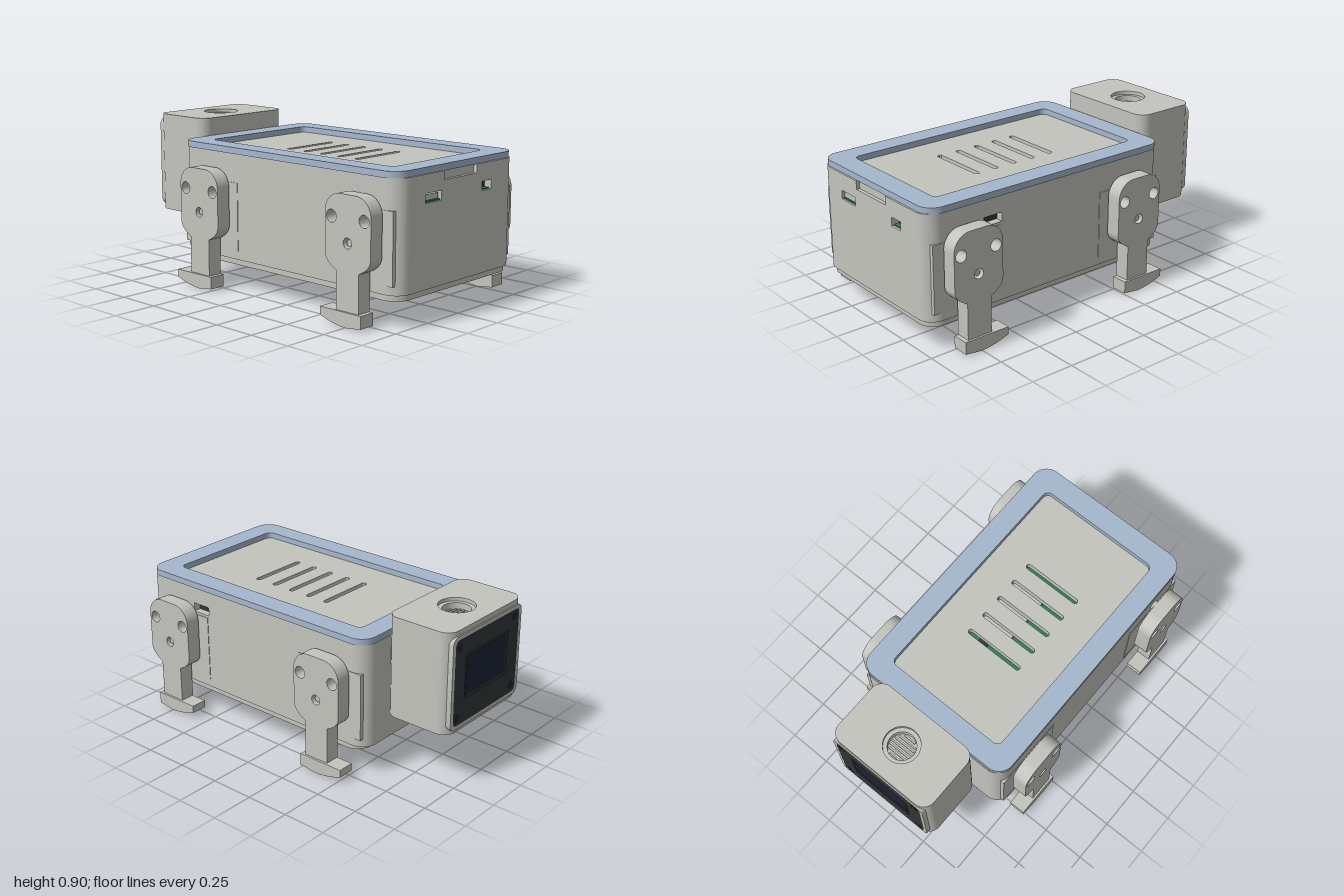
import * as THREE from 'three';
import { toCreasedNormals } from 'three/addons/utils/BufferGeometryUtils.js';

const mat = (name, color) => {
  const m = new THREE.MeshStandardMaterial({ color });
  m.name = name;
  return m;
};

export function createModel() {
  const model = new THREE.Group();
  const grey = mat('shell grey', 0xc4c4be);
  const blue = mat('lid blue', 0xa6b7cd);
  const green = mat('board green', 0x2f7d57);
  const dark = mat('panel charcoal', 0x2f3636);
  const navy = mat('screen navy', 0x1c2336);

  const add = (name, geo, material, x = 0, y = 0, z = 0) => {
    const m = new THREE.Mesh(geo, material);
    m.name = name;
    m.position.set(x, y, z);
    model.add(m);
    return m;
  };
  const box = (name, material, x0, x1, y0, y1, z0, z1) =>
    add(name, new THREE.BoxGeometry(x1 - x0, y1 - y0, z1 - z0), material,
      (x0 + x1) / 2, (y0 + y1) / 2, (z0 + z1) / 2);

  // rounded rectangle; notches are [from, to, depth] cut into the lower and right edges
  const rounded = (hx, hy, r, cx = 0, cy = 0, low = [], right = [], P = THREE.Shape) => {
    const s = new P();
    const [l, t, b, e] = [cx - hx, cy + hy, cy - hy, cx + hx];
    s.moveTo(l + r, b);
    for (const [a, c, d] of low) s.lineTo(a, b).lineTo(a, b + d).lineTo(c, b + d).lineTo(c, b);
    s.lineTo(e - r, b);
    s.absarc(e - r, b + r, r, -Math.PI / 2, 0);
    for (const [a, c, d] of right) s.lineTo(e, a).lineTo(e - d, a).lineTo(e - d, c).lineTo(e, c);
    s.lineTo(e, t - r);
    s.absarc(e - r, t - r, r, 0, Math.PI / 2);
    s.lineTo(l + r, t);
    s.absarc(l + r, t - r, r, Math.PI / 2, Math.PI);
    s.lineTo(l, b + r);
    s.absarc(l + r, b + r, r, Math.PI, Math.PI * 1.5);
    return s;
  };
  const roundHole = (x, y, r) => new THREE.Path().absarc(x, y, r, 0, Math.PI * 2, true);
  const slotHole = (hx, hy, r, cx, cy) => rounded(hx, hy, r, cx, cy, [], [], THREE.Path);
  const extrude = (shape, depth) => toCreasedNormals(
    new THREE.ExtrudeGeometry(shape, { depth, bevelEnabled: false, curveSegments: 14 }), 0.6);
  // plan outline (shape y = -z) raised from y0 to y1
  const layer = (name, shape, material, y0, y1) =>
    add(name, extrude(shape, y1 - y0).rotateX(-Math.PI / 2), material, 0, y0, 0);
  const bodyPlan = (low, right) => rounded(0.485, 0.7975, 0.09, 0, -0.2025, low, right);

  // body in layers, with port openings and a pry notch
  layer('bodyLower', bodyPlan(), grey, 0.178, 0.62);
  layer('bodyPorts', bodyPlan([[-0.285, -0.155, 0.05], [0.185, 0.265, 0.05]],
    [[-0.645, -0.53, 0.05]]), grey, 0.62, 0.67);
  layer('bodyUpper', bodyPlan(), grey, 0.67, 0.72);
  const top = bodyPlan([[-0.135, 0.135, 0.02]]);
  const slotsZ = [-0.055, 0.07, 0.195, 0.32, 0.445];
  for (const z of slotsZ) top.holes.push(slotHole(0.177, 0.015, 0.0145, 0, -z));
  layer('bodyTop', top, grey, 0.72, 0.767);

  // circuit board seen through the slots and ports
  slotsZ.forEach((z, i) => {
    const end = i === 0 || i === 4;
    box('circuitBoard', green, -0.175, end ? 0.175 : -0.03, 0.718, 0.726, z - 0.014, z + 0.014);
    if (!end) box('boardEdge', dark, -0.03, -0.02, 0.718, 0.726, z - 0.014, z + 0.014);
  });
  box('boardChip', dark, 0.05, 0.11, 0.72, 0.729, -0.069, -0.041);
  box('leftPortBoard', green, -0.285, -0.155, 0.62, 0.627, 0.95, 0.99);
  box('leftConnector', grey, -0.28, -0.165, 0.63, 0.66, 0.95, 0.985);
  box('rightPortBack', dark, 0.185, 0.265, 0.62, 0.67, 0.948, 0.956);
  box('rightPortBoard', green, 0.185, 0.265, 0.62, 0.627, 0.955, 0.985);
  box('sideSlotBack', dark, 0.434, 0.442, 0.62, 0.67, 0.53, 0.645);

  // lid frame
  const lid = rounded(0.492, 0.79, 0.09, 0, -0.2);
  lid.holes.push(slotHole(0.37, 0.665, 0.035, 0, -0.198));
  layer('lidFrame', lid, blue, 0.765, 0.8);

  // bottom cover with vents and screws
  const cover = rounded(0.473, 0.77, 0.09, 0, -0.217);
  for (let i = 0; i < 4; i++) cover.holes.push(slotHole(0.34, 0.02, 0.0195, 0, 0.05 - i * 0.11));
  const screwSpots = [-0.33, -0.12, 0.81].flatMap(z => [[-0.24, z], [0.24, z]]);
  for (const [x, z] of screwSpots) cover.holes.push(roundHole(x, -z, 0.028));
  layer('bottomCover', cover, grey, 0.145, 0.178);
  for (const [x, z] of screwSpots)
    add('coverScrew', new THREE.CylinderGeometry(0.02, 0.02, 0.02, 20), grey, x, 0.168, z);

  // head with a stepped round opening on top
  const headPlan = (...holes) => {
    const s = rounded(0.325, 0.198, 0.07, 0, 0.795);
    for (const r of holes) s.holes.push(roundHole(0, 0.8, r));
    return s;
  };
  layer('headBody', headPlan(), grey, 0.33, 0.84);
  layer('headStep', headPlan(0.077), grey, 0.84, 0.88);
  layer('headTop', headPlan(0.1), grey, 0.88, 0.9);
  for (let i = -3; i <= 3; i++) {
    const h = Math.sqrt(0.07 ** 2 - (i * 0.02) ** 2);
    box('sensorGrille', grey, -h, h, 0.84, 0.85, -0.805 + i * 0.02, -0.795 + i * 0.02);
  }
  box('neck', grey, -0.28, 0.28, 0.6, 0.7, -0.62, -0.58);

  // display on the back of the head
  const plate = (name, shape, material, z0, z1) =>
    add(name, extrude(shape, z1 - z0), material, 0, 0, z0);
  const rim = rounded(0.305, 0.262, 0.04, 0, 0.61);
  rim.holes.push(slotHole(0.283, 0.241, 0.03, 0, 0.61));
  plate('displayRim', rim, grey, -1, -0.96);
  const panel = rounded(0.283, 0.241, 0.03, 0, 0.61);
  panel.holes.push(slotHole(0.19, 0.125, 0.005, 0, 0.625));
  plate('displayPanel', panel, dark, -0.999, -0.98);
  box('screenBack', dark, -0.2, 0.2, 0.49, 0.76, -0.994, -0.985);
  box('screen', navy, -0.175, 0.175, 0.515, 0.735, -0.996, -0.99);
  for (const x of [-0.245, 0.245]) for (const y of [0.41, 0.81]) {
    const screw = new THREE.CylinderGeometry(0.022, 0.022, 0.006, 20).rotateX(Math.PI / 2);
    add('panelScrew', screw, navy, x, y, -0.997);
  }

  // leg and foot side outlines, x of the shape running along z
  const leg = new THREE.Shape();
  leg.moveTo(-0.075, 0.07).lineTo(0.075, 0.07).lineTo(0.075, 0.285);
  leg.quadraticCurveTo(0.152, 0.32, 0.152, 0.37);
  leg.lineTo(0.152, 0.575).absarc(0.052, 0.575, 0.1, 0, Math.PI / 2);
  leg.lineTo(-0.052, 0.675).absarc(-0.052, 0.575, 0.1, Math.PI / 2, Math.PI);
  leg.lineTo(-0.152, 0.37).quadraticCurveTo(-0.152, 0.32, -0.075, 0.285);
  leg.holes.push(roundHole(-0.108, 0.555, 0.033), roundHole(0.108, 0.555, 0.033), roundHole(0, 0.43, 0.028));
  const foot = new THREE.Shape();
  foot.moveTo(0.1, 0.08).lineTo(-0.175, 0.08).lineTo(-0.175, 0.037);
  foot.quadraticCurveTo(-0.09, 0.004, 0, 0).lineTo(0.1, 0.012).lineTo(0.1, 0.08);
  const legGeo = extrude(leg, 0.085).rotateY(-Math.PI / 2).translate(0.0425, 0, 0);
  const footGeo = extrude(foot, 0.095).rotateY(-Math.PI / 2).translate(0.0475, 0, 0);
  const axle = (r, len) => new THREE.CylinderGeometry(r, r, len, 24).rotateZ(Math.PI / 2);

  for (const side of [-1, 1]) for (const z of [0.755, -0.345]) {
    const end = z > 0 ? 'front' : 'rear';
    add(end + 'Leg', legGeo, grey, side * 0.5425, 0, z);
    add(end + 'Foot', footGeo, grey, side * 0.5495, 0, z);
    add(end + 'LegShaft', axle(0.043, 0.03), blue, side * 0.49, 0.43, z);
    add(end + 'LegScrew', axle(0.017, 0.06), grey, side * 0.54, 0.43, z);
    // motor mounting flange on the body side
    const [a, b] = z > 0 ? [0.54, 0.965] : [-0.565, -0.14];
    box(end + 'MotorFlange', grey, side * 0.476 - 0.012, side * 0.476 + 0.012, 0.225, 0.605, a, b);
  }
  add('sidePin', axle(0.028, 0.03), grey, -0.495, 0.643, 0.755);

  return model;
}
